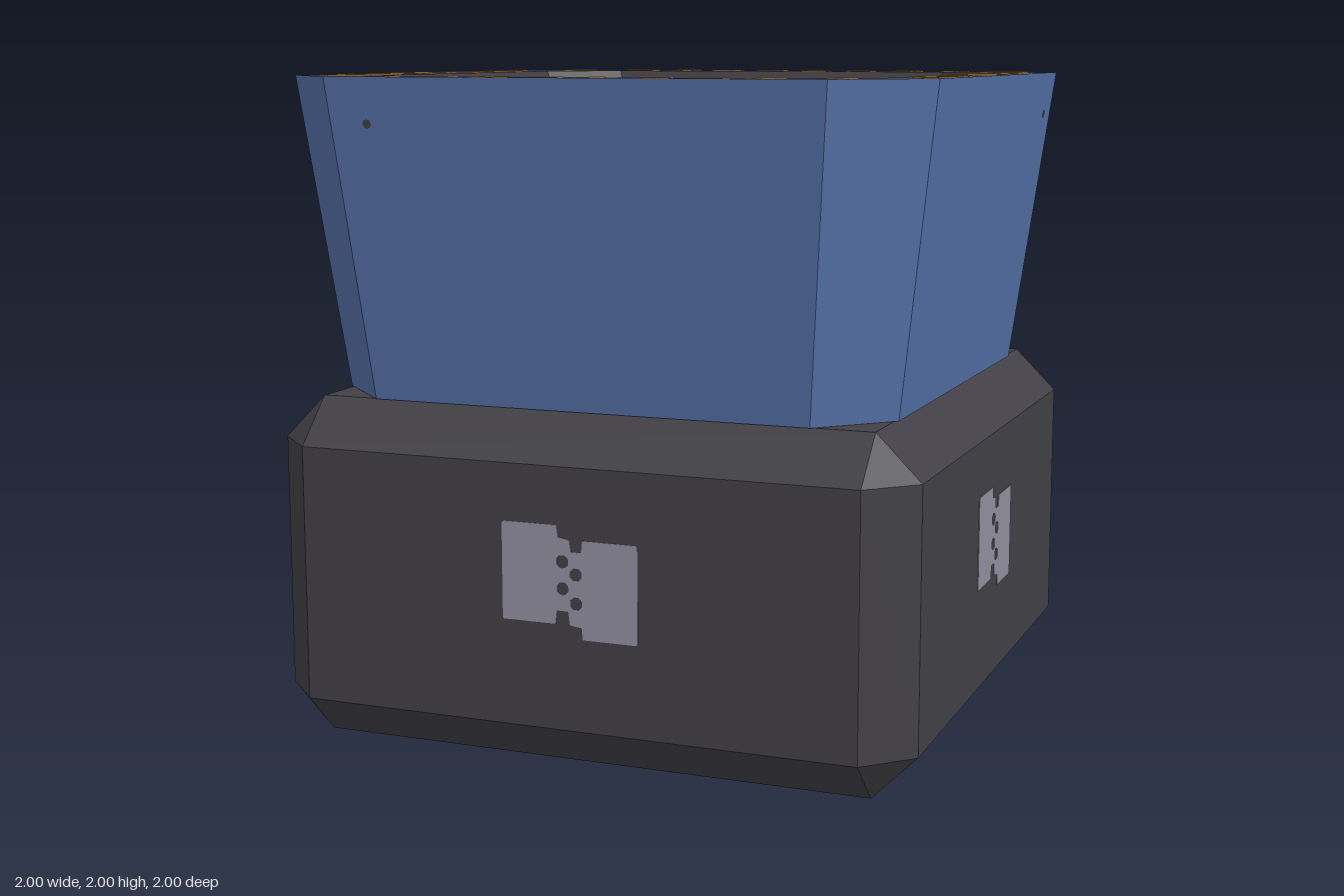
import * as THREE from 'three';
import { ConvexGeometry } from 'three/addons/geometries/ConvexGeometry.js';

const mat = (name, color) => Object.assign(new THREE.MeshStandardMaterial({ color }), { name });

// Octagonal ring: flats at distance h, each flat reaching c to either side
const ring = (h, c, y) =>
  [[h, -c], [h, c], [c, h], [-c, h], [-h, c], [-h, -c], [-c, -h], [c, -h]].map(([x, z]) => [x, y, z]);

// Faceted skin joining successive rings
function loft(rings) {
  const pos = [];
  for (let r = 0; r + 1 < rings.length; r++) {
    const a = rings[r], b = rings[r + 1];
    for (let i = 0; i < 8; i++) {
      const j = (i + 1) % 8;
      pos.push(...a[i], ...b[i], ...b[j], ...a[i], ...b[j], ...a[j]);
    }
  }
  const g = new THREE.BufferGeometry();
  g.setAttribute('position', new THREE.Float32BufferAttribute(pos, 3));
  g.computeVertexNormals();
  return g;
}

// Thin plate from an outline with optional holes, lying in the xy plane
function plate(points, holes = []) {
  const toVec = (list) => list.map(([x, y]) => new THREE.Vector2(x, y));
  const shape = new THREE.Shape(toVec(points));
  holes.forEach((h) => shape.holes.push(new THREE.Path(toVec(h))));
  return new THREE.ExtrudeGeometry(shape, { depth: 0.005, bevelEnabled: false });
}

// Rectangle with slightly clipped corners
const rect = (x, y, w, h, k = 0.008) => [
  [x - w / 2 + k, y - h / 2], [x + w / 2 - k, y - h / 2], [x + w / 2, y - h / 2 + k], [x + w / 2, y + h / 2 - k],
  [x + w / 2 - k, y + h / 2], [x - w / 2 + k, y + h / 2], [x - w / 2, y + h / 2 - k], [x - w / 2, y - h / 2 + k]];

export function createModel() {
  const model = new THREE.Group();
  const charcoal = mat('charcoal', 0x424046);
  const blue = mat('blue', 0x5672aa);
  const gold = mat('gold', 0xcf9040);
  const grey = mat('lilacGrey', 0x9390a0);

  const add = (parent, name, geometry, material) => {
    const m = new THREE.Mesh(geometry, material);
    m.name = name;
    parent.add(m);
    return m;
  };

  // Base block with every edge chamfered
  const n = 0.865, pts = [];
  for (const sx of [-1, 1]) for (const sz of [-1, 1]) {
    for (const [yEnd, yEdge] of [[0, 0.135], [1.045, 0.91]]) {
      pts.push(new THREE.Vector3(sx * n, yEnd, sz * n),
        new THREE.Vector3(sx, yEdge, sz * n),
        new THREE.Vector3(sx * n, yEdge, sz));
    }
  }
  add(model, 'base', new ConvexGeometry(pts), charcoal);

  // Flared cup: blue outside, dark rim, walls, floor and underside
  add(model, 'cupOuterWall', loft([ring(0.878, 0.68, 1.046), ring(1, 0.76, 2)]), blue);
  add(model, 'cupUnderside', loft([ring(0, 0, 1.046), ring(0.878, 0.68, 1.046)]), charcoal);
  add(model, 'cupRimAndInside', loft([
    ring(1, 0.76, 1.9985), ring(0.8, 0.6, 1.9985), ring(0.48, 0.365, 1.1), ring(0, 0, 1.1)]), charcoal);

  // One side's rim studs and clasp, repeated by quarter turns
  const stud = plate(rect(0, 0, 0.085, 0.122));
  const cornerStud = plate(rect(0, 0, 0.085, 0.138));
  const hook = plate([[0.57, 0.955], [0.65, 0.955], [0.655, 0.95], [0.655, 0.925], [0.615, 0.92],
    [0.61, 0.885], [0.605, 0.88], [0.575, 0.88], [0.57, 0.885]].reverse());
  const clasp = plate([
    [-0.205, 0.45], [-0.04, 0.45], [-0.035, 0.49], [0, 0.49], [0.005, 0.45], [0.042, 0.445], [0.045, 0.41],
    [0.21, 0.41], [0.215, 0.415], [0.215, 0.695], [0.21, 0.7], [0.045, 0.7], [0.042, 0.665], [0.01, 0.665],
    [0.005, 0.7], [-0.03, 0.705], [-0.035, 0.74], [-0.2, 0.74], [-0.208, 0.735], [-0.208, 0.455],
  ], [[-0.017, 0.635], [0.025, 0.6], [-0.017, 0.556], [0.025, 0.515]]
    .map(([x, y]) => rect(x, y, 0.036, 0.036, 0.01).reverse()));

  for (let k = 0; k < 4; k++) {
    const side = new THREE.Group();
    side.name = 'side' + (k + 1);
    side.rotation.y = k * Math.PI / 2;
    model.add(side);

    for (let i = 0; i < 7; i++) {
      const s = add(side, 'rimStud', stud, gold);
      s.position.set(-0.555 + i / 6, 1.996, -0.9);
      s.rotation.x = -Math.PI / 2;
    }
    const h = add(side, 'rimHook', hook, gold);
    h.position.y = 1.996;
    h.rotation.x = -Math.PI / 2;

    const c = add(side, 'cornerStud', cornerStud, gold);
    c.position.set(-0.77, 1.996, -0.825);
    c.rotation.set(-Math.PI / 2, 0, Math.PI / 4);

    add(side, 'clasp', clasp, grey).position.z = 0.997;

    // Pin hole near the top of two walls
    if (k < 2) {
      const p = add(side, 'pinHole', new THREE.CircleGeometry(0.014, 8), charcoal);
      p.position.set(-0.628 + k * 1.264, 1.865, 0.986);
      p.rotation.x = Math.atan2(0.122, 0.954);
    }
  }
  return model;
}
